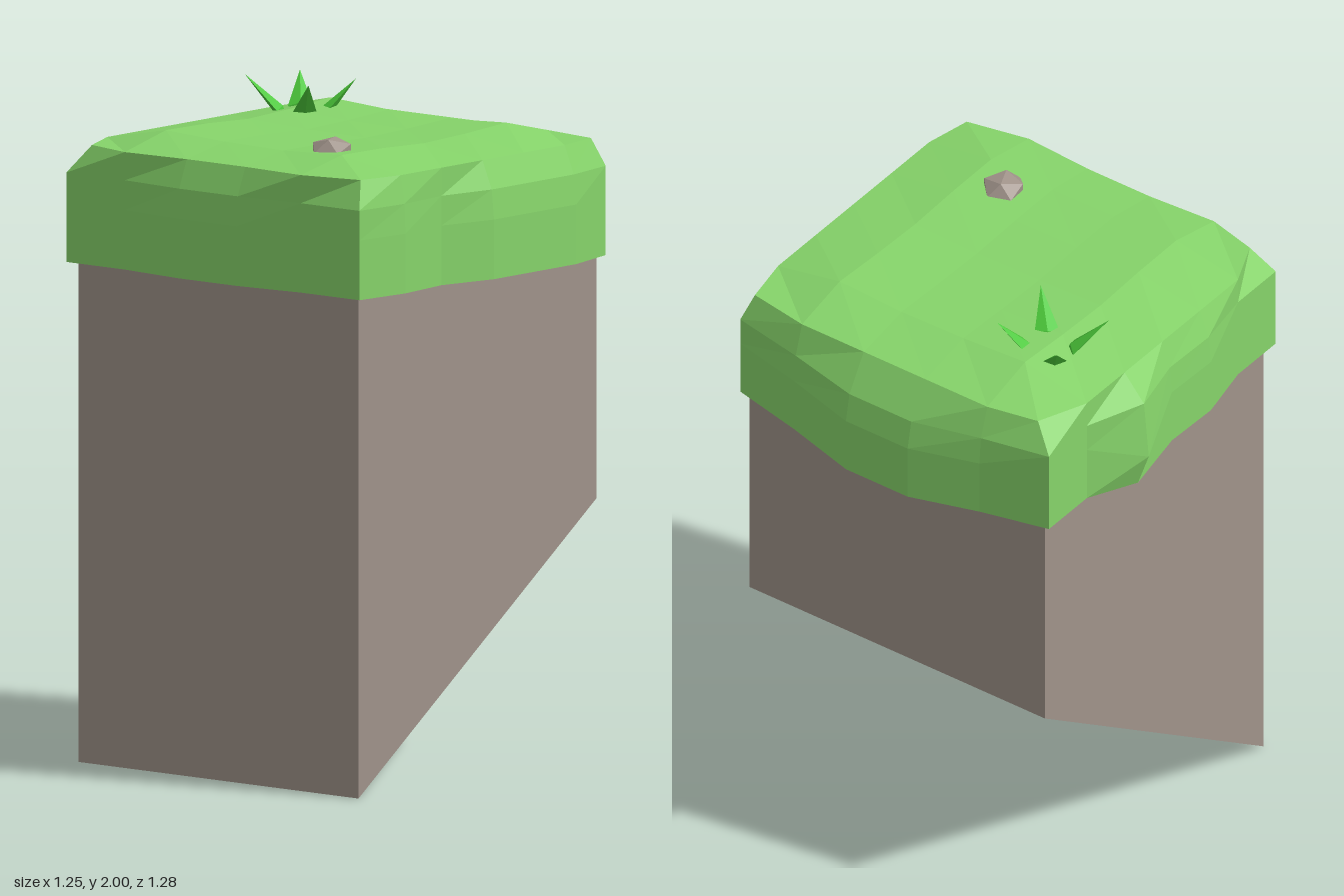
import * as THREE from 'three';

const grassMat = new THREE.MeshStandardMaterial({ color: 0x86d46a, flatShading: true });
const bladeMat = new THREE.MeshStandardMaterial({ color: 0x4cc93a, flatShading: true });
const rockMat = new THREE.MeshStandardMaterial({ color: 0xa0938a, flatShading: true });

function add(parent, name, geometry, material) {
  const mesh = new THREE.Mesh(geometry, material);
  mesh.name = name;
  parent.add(mesh);
  return mesh;
}

// Grass cap: a segmented box with bulging sides and a gently uneven top
function capGeometry() {
  const NX = 6, NY = 3, NZ = 5;
  const levels = [1.51, 1.69, 1.78, 1.865];
  const strength = [1, 1, 0.8, 0];
  // outward bulge along each side, per column
  const front = [0, 0.02, 0, 0.045, 0.045, 0.045, 0];
  const back = [0, 0, 0.04, 0.035, 0.09, 0, 0];
  const left = [0, 0, 0.025, 0.025, 0, 0];
  const right = [0, 0.04, 0.09, 0.09, 0.04, 0];
  const riseX = [0, 0.038, 0.036, 0.028, 0.034, 0.045, 0];
  const riseZ = [0, 1.15, 0.85, 0.75, 1, 0];

  const geo = new THREE.BoxGeometry(1, 1, 1, NX, NY, NZ);
  const p = geo.attributes.position;
  for (let v = 0; v < p.count; v++) {
    const i = Math.round((p.getX(v) + 0.5) * NX);
    const j = Math.round((p.getY(v) + 0.5) * NY);
    const k = Math.round((p.getZ(v) + 0.5) * NZ);
    let x = -0.605 + 0.19 * i, y = levels[j], z = -0.55 + 0.229 * k;
    const s = strength[j];
    if (i === 0) x -= left[k] * s;
    if (i === NX) {
      x += right[k] * s;
      if (j < NY) y -= right[k] * 0.33; // sagging side
    }
    if (k === NZ) z += front[i] * s;
    if (k === 0) {
      z -= back[i] * s;
      if (i === 4 && j < 2) { // drooping lump
        y -= j === 0 ? 0.035 : 0.1;
        if (j === 0) z += 0.04;
      }
    }
    if (j === NY) {
      y += riseX[i] * riseZ[k];
      // rounded top corners and slightly drawn-in left rim
      if ((i === 0 || i === NX) && (k === 0 || k === NZ)) {
        x += i === 0 ? 0.042 : -0.033;
        z += k === 0 ? 0.065 : -0.03;
      } else if (i === 0) x += left[k] * 0.6;
    }
    p.setXYZ(v, x, y, z);
  }
  geo.computeVertexNormals();
  return geo;
}

export function createModel() {
  const model = new THREE.Group();
  model.name = 'grassyBlock';

  // Rock body with a slanted underside
  const outline = new THREE.Shape([[-0.585, 0], [0.515, 0.775], [0.515, 1.7], [-0.585, 1.7]]
    .map(([x, y]) => new THREE.Vector2(x, y)));
  const body = new THREE.ExtrudeGeometry(outline, { depth: 1.095, bevelEnabled: false });
  body.translate(0, 0, -0.52);
  add(model, 'rockBody', body, rockMat);

  add(model, 'grassCap', capGeometry(), grassMat);

  // Half-buried pebble
  const pebble = add(model, 'pebble', new THREE.IcosahedronGeometry(0.07, 0), rockMat);
  pebble.scale.y = 0.65;
  pebble.position.set(-0.335, 1.895, 0.26);
  pebble.rotation.y = 0.4;

  // Tuft of four spear-shaped blades leaning outwards
  const tuft = new THREE.Group();
  tuft.name = 'grassTuft';
  model.add(tuft);
  const blades = [ // base x, z, tip x, y, z
    [0.175, -0.378, 0.12, 2.0, -0.465],
    [0.268, -0.372, 0.34, 1.99, -0.435],
    [0.163, -0.268, 0.095, 1.995, -0.195],
    [0.259, -0.262, 0.315, 1.99, -0.195],
  ];
  for (const [bx, bz, tx, ty, tz] of blades) {
    const base = new THREE.Vector3(bx, 1.895, bz);
    const out = new THREE.Vector3(tx, ty, tz).sub(base);
    const length = out.length();
    const reach = Math.hypot(out.x, out.z);
    const geo = new THREE.ConeGeometry(0.038, length, 4);
    geo.scale(0.45, 1, 1);
    geo.translate(0, length / 2, 0);
    // pointed root
    const root = new THREE.ConeGeometry(0.038, 0.035, 4);
    root.scale(0.45, 1, 1);
    root.rotateX(Math.PI);
    root.translate(0, -0.0175, 0);
    const blade = new THREE.Group();
    blade.name = 'blade';
    add(blade, 'bladeTip', geo, bladeMat);
    add(blade, 'bladeRoot', root, bladeMat);
    blade.position.copy(base);
    blade.rotation.order = 'YXZ';
    blade.rotation.y = Math.atan2(-out.z, out.x);
    blade.rotation.z = -Math.atan2(reach, out.y);
    tuft.add(blade);
  }
  return model;
}
